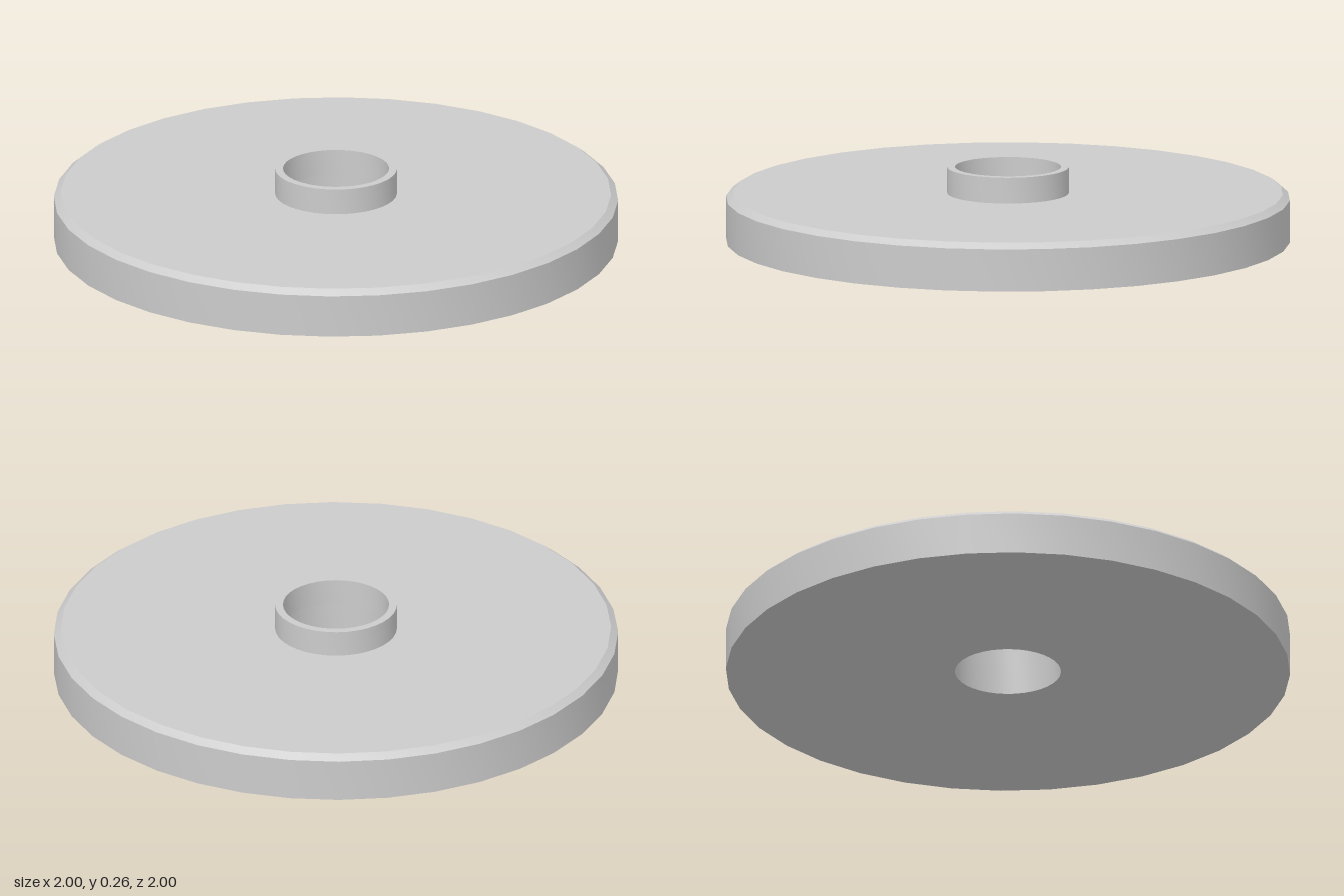
import * as THREE from 'three';
import { toCreasedNormals } from 'three/addons/utils/BufferGeometryUtils.js';

const SIDES = 36;
const BORE = 0.188, HUB = 0.216, RIM = 1;
const RIM_TOP = 0.152, DISC_TOP = 0.172, HUB_TOP = 0.265;

// Revolve a [radius, height] profile, smooth around and sharp at its corners
function turned(name, profile, material) {
  const points = profile.map(([r, y]) => new THREE.Vector2(r, y));
  const geometry = toCreasedNormals(new THREE.LatheGeometry(points, SIDES), Math.PI / 6);
  const mesh = new THREE.Mesh(geometry, material);
  mesh.name = name;
  return mesh;
}

export function createModel() {
  const group = new THREE.Group();
  group.name = 'flangedDisc';
  const material = new THREE.MeshStandardMaterial({ color: 0xcccccc, side: THREE.DoubleSide });

  // Flat disc with a chamfered upper rim and a through bore
  group.add(turned('disc', [
    [BORE, DISC_TOP], [BORE, 0], [RIM, 0], [RIM, RIM_TOP],
    [0.975, DISC_TOP], [HUB, DISC_TOP],
  ], material));

  // Raised collar continuing the bore
  group.add(turned('collar', [
    [HUB, DISC_TOP], [HUB, HUB_TOP], [BORE, HUB_TOP], [BORE, DISC_TOP],
  ], material));

  return group;
}
